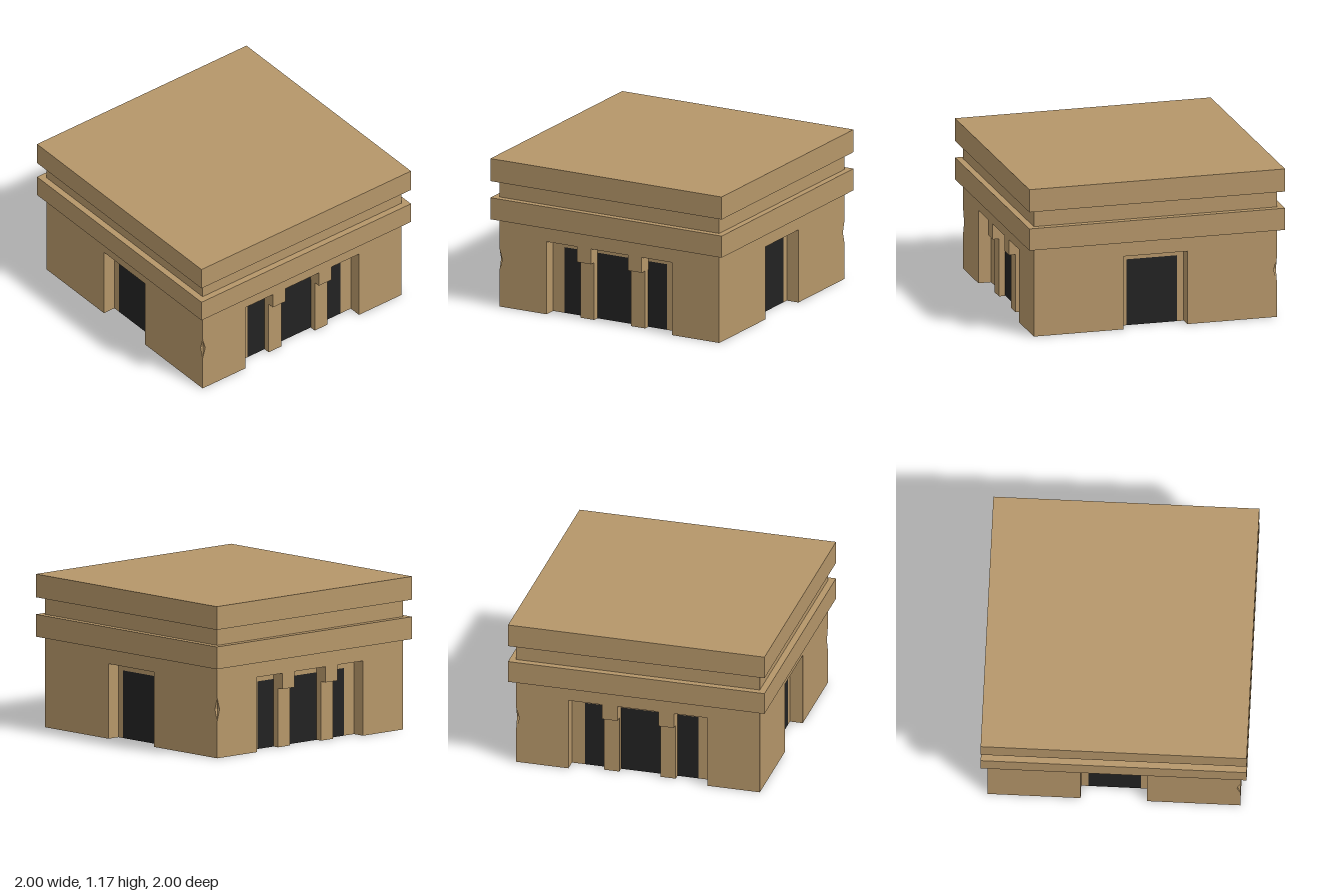
import * as THREE from 'three';

const W = 0.95;        // half width of the walls
const WALL_TOP = 0.69;
const DEPTH = 0.1;     // how far the doorways are set back
const NICHE_TOP = 0.57;
const DOOR_TOP = 0.515;
const CHIP = 0.025, CHIP_LOW = 0.28, CHIP_MID = 0.37, CHIP_HIGH = 0.46;

const sandstone = new THREE.MeshStandardMaterial({ color: 0xb59669, side: THREE.DoubleSide });
sandstone.name = 'sandstone';
const darkness = new THREE.MeshStandardMaterial({ color: 0x222222, side: THREE.DoubleSide });
darkness.name = 'doorway dark';

function add(parent, name, geometry, material = sandstone) {
  const mesh = new THREE.Mesh(geometry, material);
  mesh.name = name;
  parent.add(mesh);
  return mesh;
}

const flat = (points) =>
  new THREE.ShapeGeometry(new THREE.Shape(points.map(([x, y]) => new THREE.Vector2(x, y))));

function fromTriangles(positions) {
  const geometry = new THREE.BufferGeometry();
  geometry.setAttribute('position', new THREE.Float32BufferAttribute(positions, 3));
  geometry.computeVertexNormals();
  return geometry;
}

// Reveal surfaces running back from the edge of an opening
function reveal(path) {
  const positions = [];
  for (let i = 0; i < path.length - 1; i++) {
    const [ax, ay] = path[i], [bx, by] = path[i + 1];
    const a = [ax, ay, W], b = [bx, by, W];
    const c = [bx, by, W - DEPTH], d = [ax, ay, W - DEPTH];
    positions.push(...a, ...c, ...b, ...a, ...d, ...c);
  }
  return fromTriangles(positions);
}

// One wall facing +z; opening runs from its left foot to its right foot
function makeWall(name, opening, nicheHalf, doorHalf, chipSide) {
  const wall = new THREE.Group();
  wall.name = name;

  const edge = (side) => side === chipSide
    ? [[side * W, CHIP_LOW], [side * (W - CHIP), CHIP_MID], [side * W, CHIP_HIGH]]
    : [];
  add(wall, 'wallFace', flat([
    [-W, 0], ...opening, [W, 0], ...edge(1), [W, WALL_TOP],
    [-W, WALL_TOP], ...edge(-1).reverse(),
  ])).position.z = W;

  add(wall, 'doorwayReveal', reveal(opening));

  // Surround and dark door share the back plane of the recess
  const n = nicheHalf, d = doorHalf;
  add(wall, 'doorSurround', flat([
    [-n, 0], [-d, 0], [-d, DOOR_TOP], [d, DOOR_TOP], [d, 0],
    [n, 0], [n, NICHE_TOP], [-n, NICHE_TOP],
  ])).position.z = W - DEPTH;
  add(wall, 'doorway', flat([[-d, 0], [d, 0], [d, DOOR_TOP], [-d, DOOR_TOP]]), darkness)
    .position.z = W - DEPTH;
  return wall;
}

// Triple doorway with two piers, and a chipped left corner
function makeWideWall(name) {
  const n = 0.543, outer = 0.28, inner = 0.16, pierTop = 0.45;
  const half = [[n, 0], [n, NICHE_TOP], [outer, NICHE_TOP],
    [outer, pierTop], [inner, pierTop], [inner, NICHE_TOP]];
  const opening = [...half.map(([x, y]) => [-x, y]), ...half.slice().reverse()];
  const wall = makeWall(name, opening, n, 0.443, -1);

  for (const side of [-1, 1]) {
    const pier = add(wall, 'pier', new THREE.BoxGeometry(outer - inner, pierTop, 0.048));
    pier.position.set(side * (outer + inner) / 2, pierTop / 2, W - 0.074);
  }

  // Small dent in the corner edge
  const high = [-W, CHIP_HIGH, W], low = [-W, CHIP_LOW, W];
  const front = [-W + CHIP, CHIP_MID, W], back = [-W, CHIP_MID, W - CHIP];
  const deep = [-W + CHIP, CHIP_MID, W - CHIP];
  add(wall, 'cornerChip', fromTriangles([
    ...high, ...deep, ...front, ...high, ...back, ...deep,
    ...low, ...front, ...deep, ...low, ...deep, ...back,
  ]));
  return wall;
}

function makeNarrowWall(name) {
  const n = 0.25;
  return makeWall(name, [[-n, 0], [-n, NICHE_TOP], [n, NICHE_TOP], [n, 0]], n, 0.197, 1);
}

export function createModel() {
  const model = new THREE.Group();
  model.name = 'stoneBuilding';

  ['frontWall', 'leftWall', 'backWall', 'rightWall'].forEach((name, i) => {
    const wall = i % 2 ? makeNarrowWall(name) : makeWideWall(name);
    wall.rotation.y = i * Math.PI / 2;
    model.add(wall);
  });

  // Two square cornice bands and the roof, hollow underneath
  const profile = [
    [W, WALL_TOP], [1, WALL_TOP], [1, 0.86], [W, 0.86],
    [W, 0.99], [1, 0.99], [1, 1.167], [0, 1.167],
  ].map(([r, y]) => new THREE.Vector2(r * Math.SQRT2, y));
  const cornice = new THREE.LatheGeometry(profile, 4, Math.PI / 4).toNonIndexed();
  cornice.computeVertexNormals();
  add(model, 'corniceAndRoof', cornice);

  return model;
}
